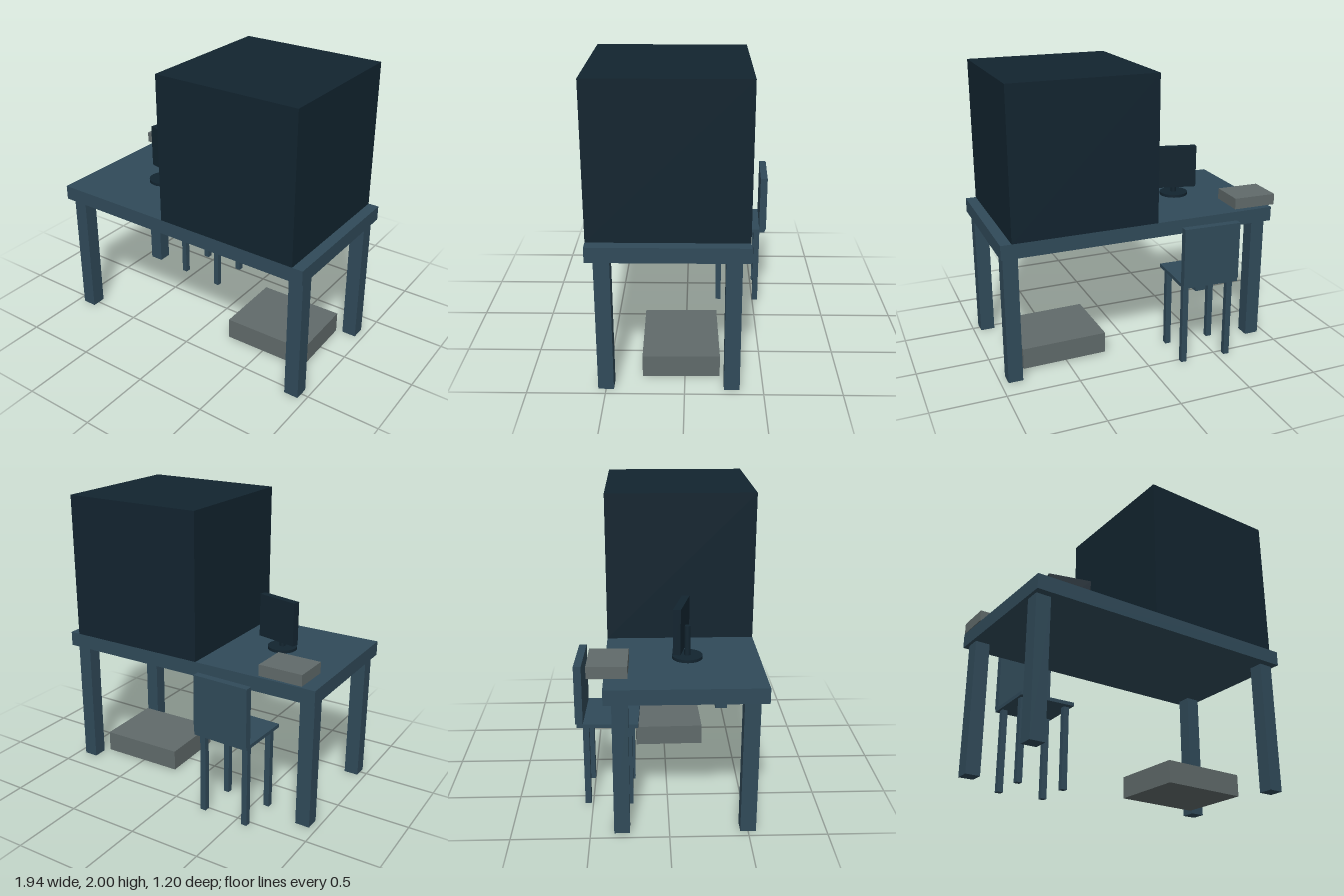
import * as THREE from 'three';

const steel = new THREE.MeshStandardMaterial({ color: 0x304a59 });
const dark = new THREE.MeshStandardMaterial({ color: 0x12242f });
const grey = new THREE.MeshStandardMaterial({ color: 0x606a6a });

function add(parent, name, geometry, material, x, y, z, turn = 0) {
  const mesh = new THREE.Mesh(geometry, material);
  mesh.name = name;
  mesh.position.set(x, y, z);
  mesh.rotation.y = turn;
  parent.add(mesh);
  return mesh;
}

const box = (w, h, d) => new THREE.BoxGeometry(w, h, d);

function group(parent, name, x, z, turn = 0) {
  const g = new THREE.Group();
  g.name = name;
  g.position.set(x, 0, z);
  g.rotation.y = turn;
  parent.add(g);
  return g;
}

// Four square legs standing on the floor
function addLegs(parent, name, size, height, dx, dz) {
  for (const sx of [-1, 1])
    for (const sz of [-1, 1])
      add(parent, name, box(size, height, size), steel, sx * dx, height / 2, sz * dz);
}

export function createModel() {
  const model = new THREE.Group();
  model.name = 'workstation';

  // Desk
  const desk = group(model, 'desk', 0, 0.1);
  add(desk, 'deskTop', box(1.942, 0.1, 1), steel, 0, 0.95, 0);
  addLegs(desk, 'deskLeg', 0.1, 0.9, 0.9, 0.4);

  // Large cabinet on the desk
  add(model, 'cabinet', box(1, 1, 1), dark, 0.398, 1.5, 0.1);

  // Chair, slightly turned, with its back away from the desk
  const chair = group(model, 'chair', -0.418, -0.385, -0.0375);
  add(chair, 'chairSeat', box(0.4, 0.025, 0.4), steel, 0, 0.588, 0);
  add(chair, 'chairBack', box(0.4, 0.4, 0.05), steel, 0, 0.8, -0.183);
  addLegs(chair, 'chairLeg', 0.04, 0.577, 0.163, 0.141);

  // Monitor: round foot, post and turned screen
  const monitor = group(model, 'monitor', -0.467, 0.13);
  add(monitor, 'monitorFoot', new THREE.CylinderGeometry(0.1, 0.1, 0.02, 32), dark, 0, 1.01, 0);
  add(monitor, 'monitorPost', new THREE.CylinderGeometry(0.02, 0.02, 0.2, 32), dark, 0, 1.12, 0);
  add(monitor, 'monitorScreen', box(0.3, 0.3, 0.05), dark, 0.012, 1.22, -0.04, -0.237);

  // Loose boxes: one under the desk, a small one at the back corner
  add(model, 'floorBox', box(0.6, 0.148, 0.5), grey, 0.516, 0.083, 0.03, 0.02);
  add(model, 'smallBox', box(0.298, 0.075, 0.247), grey, -0.78, 1.094, -0.371, -0.02);

  return model;
}
